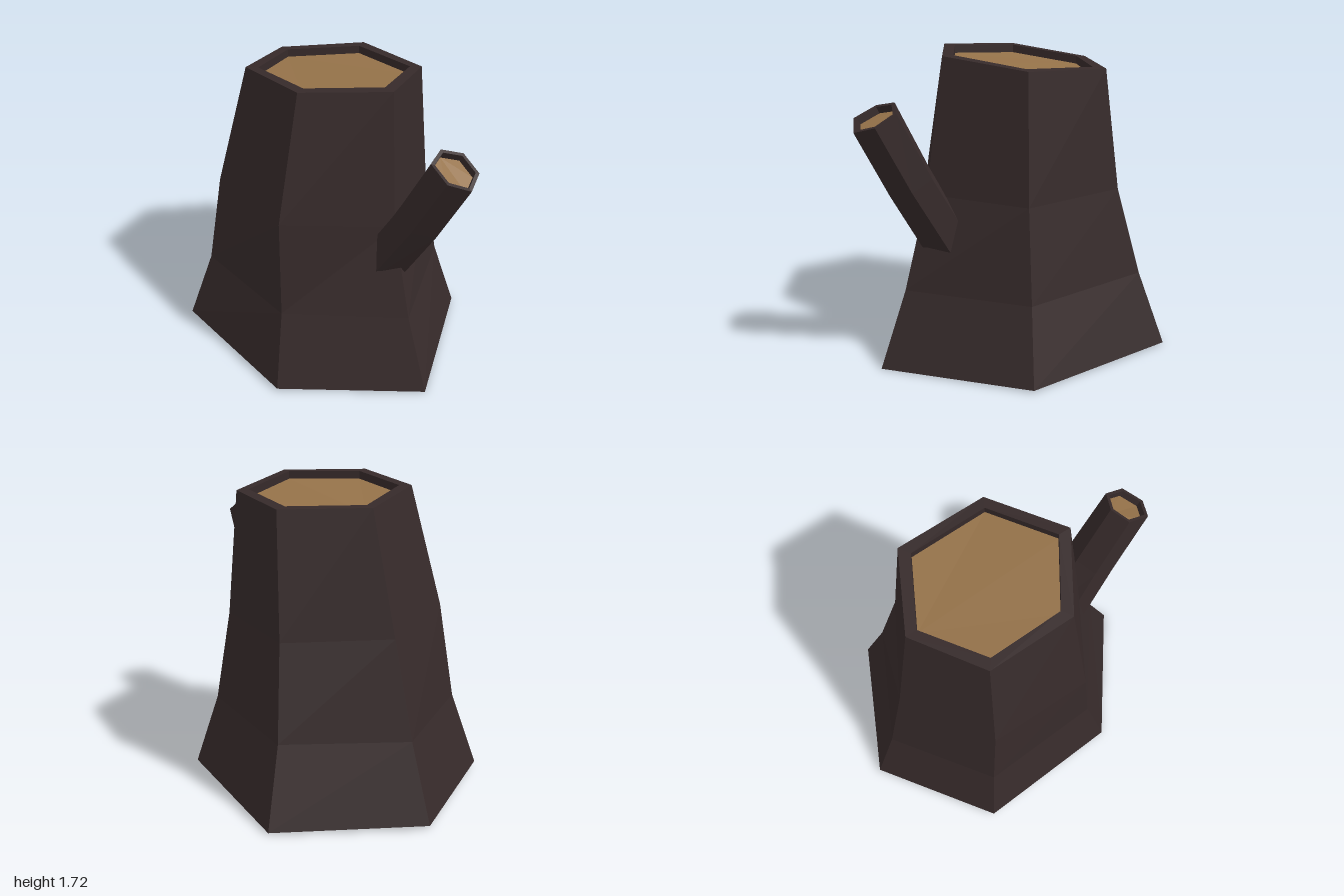
import * as THREE from 'three';

// Bark is an open shell, so its inside shows from below.
const bark = new THREE.MeshStandardMaterial({ name: 'bark', color: 0x362a2a, flatShading: true, side: THREE.DoubleSide });
const wood = new THREE.MeshStandardMaterial({ name: 'cutWood', color: 0x957249, flatShading: true, side: THREE.DoubleSide });

function mesh(name, points, material) {
  const geometry = new THREE.BufferGeometry();
  geometry.setAttribute('position', new THREE.Float32BufferAttribute(points.flat(), 3));
  geometry.computeVertexNormals();
  const m = new THREE.Mesh(geometry, material);
  m.name = name;
  return m;
}

// Skin between successive six-sided rings (each clockwise from above).
function loft(name, rings, material) {
  const points = [];
  for (let i = 0; i + 1 < rings.length; i++) {
    const low = rings[i], high = rings[i + 1], n = low.length;
    for (let j = 0; j < n; j++) {
      const k = (j + 1) % n;
      points.push(low[k], low[j], high[j], low[k], high[j], high[k]);
    }
  }
  return mesh(name, points, material);
}

function cap(name, ring, material) {
  const points = [];
  for (let j = 1; j + 1 < ring.length; j++) points.push(ring[0], ring[j + 1], ring[j]);
  return mesh(name, points, material);
}

const shift = (ring, dx, dy, dz) => ring.map(([x, y, z]) => [x + dx, y + dy, z + dz]);

export function createModel() {
  const model = new THREE.Group();
  model.name = 'treeStump';

  // Trunk rings, ground to rim: back, back left, front left, front, front right, back right
  const foot = [[-0.08, 0.02, -1], [0.69, 0.01, -0.65], [0.72, 0.01, 0.32], [0.02, 0, 0.86], [-0.66, 0.02, 0.36], [-0.725, 0.035, -0.53]];
  const flare = [[-0.06, 0.44, -0.84], [0.575, 0.44, -0.54], [0.6, 0.43, 0.25], [0.015, 0.43, 0.69], [-0.555, 0.46, 0.27], [-0.6, 0.46, -0.445]];
  const waist = [[-0.03, 0.97, -0.7], [0.5, 0.95, -0.42], [0.52, 0.95, 0.215], [0.015, 0.96, 0.54], [-0.52, 1.01, 0.22], [-0.53, 1.01, -0.385]];
  const rim = [[0.025, 1.635, -0.55], [0.465, 1.63, -0.335], [0.465, 1.655, 0.185], [0.05, 1.71, 0.445], [-0.36, 1.72, 0.185], [-0.365, 1.69, -0.305]];
  const lip = [[0.025, 1.64, -0.485], [0.4, 1.635, -0.295], [0.405, 1.66, 0.155], [0.05, 1.71, 0.375], [-0.3, 1.715, 0.15], [-0.31, 1.688, -0.265]];
  const floor = shift(lip, 0, -0.045, 0);
  model.add(loft('trunkBark', [foot, flare, waist, rim, lip, floor], bark));
  model.add(cap('trunkCut', floor, wood));

  // Branch: its tip ring is swept down into the trunk, growing wider
  const tip = [[0.1, 1.505, 0.76], [0.21, 1.47, 0.81], [0.21, 1.41, 0.93], [0.1, 1.375, 0.995], [-0.012, 1.425, 0.94], [-0.007, 1.48, 0.81]];
  const center = [0.1, 1.44, 0.873];
  const widen = (ring, s) => ring.map(([x, y, z]) => [center[0] + (x - center[0]) * s, y, z]);
  const root = shift(widen(tip, 1.38), -0.055, -0.8, -0.46);
  const bend = shift(widen(tip, 1.12), -0.02, -0.37, -0.2);
  const tipLip = tip.map(p => p.map((v, i) => center[i] + (v - center[i]) * 0.84));
  const tipFloor = shift(tipLip, 0, -0.035, -0.018);
  model.add(loft('branchBark', [root, bend, tip, tipLip, tipFloor], bark));
  model.add(cap('branchCut', tipFloor, wood));

  return model;
}
